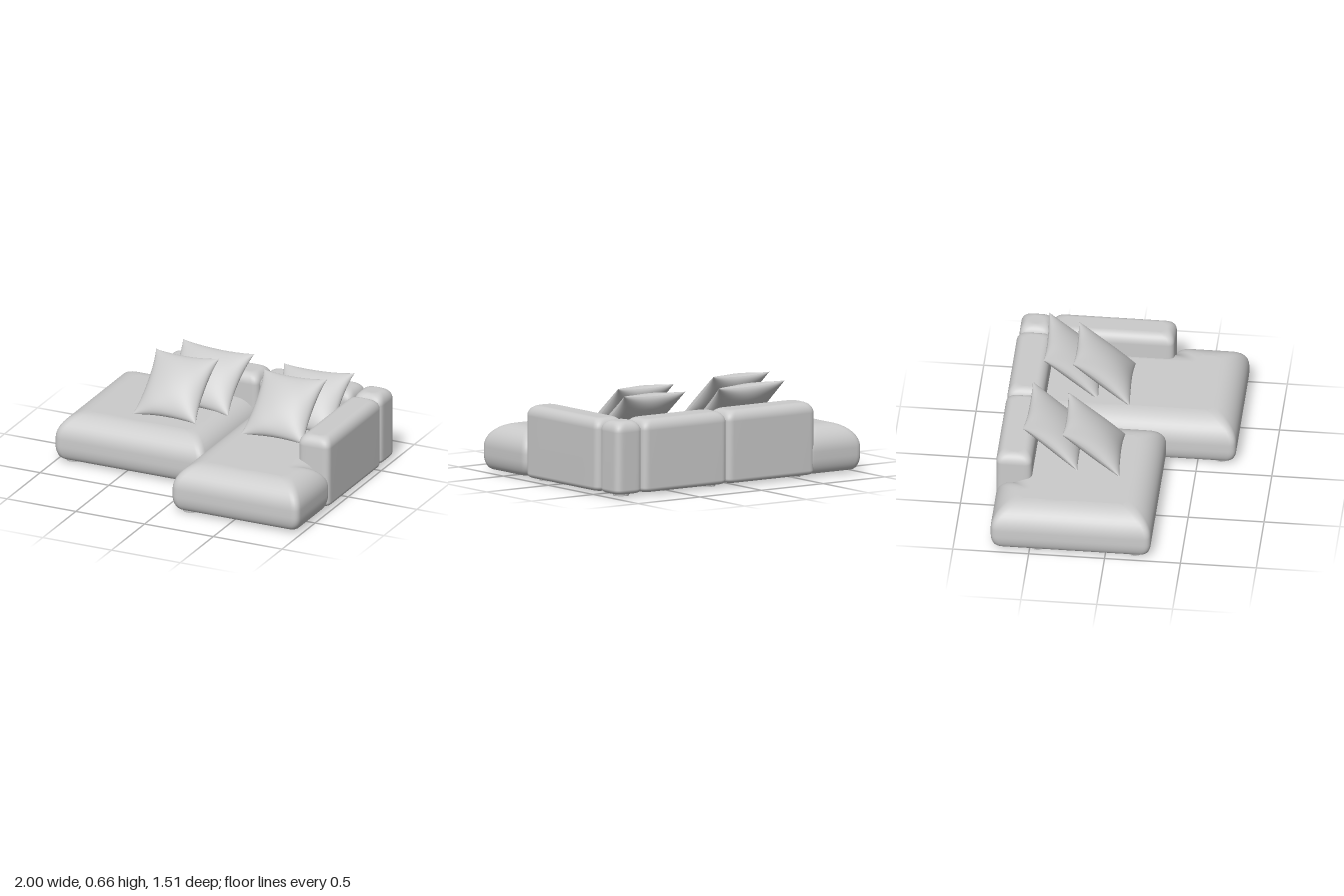
import * as THREE from 'three';
import { mergeGeometries } from 'three/addons/utils/BufferGeometryUtils.js';

const material = new THREE.MeshStandardMaterial({ color: 0xcccccc });

// Plan outline [x, z] moved inwards by `inset`, with its corners rounded.
function outline(corners, inset, radius) {
  const n = corners.length;
  const edge = (a, b) => {
    const d = new THREE.Vector2(b[0] - a[0], b[1] - a[1]).normalize();
    return new THREE.Vector2(d.y, -d.x).multiplyScalar(inset);
  };
  const pts = corners.map((p, i) => new THREE.Vector2(...p)
    .add(edge(corners[(i + n - 1) % n], p))
    .add(edge(p, corners[(i + 1) % n])));
  const ring = [];
  pts.forEach((p, i) => {
    const prev = pts[(i + n - 1) % n], next = pts[(i + 1) % n];
    const toward = (q) => p.clone().lerp(q, Math.min(0.48, radius / p.distanceTo(q)));
    const bend = new THREE.QuadraticBezierCurve(toward(prev), p, toward(next));
    ring.push(...bend.getPoints(6));
    // extra points along the straight run
    const a = ring[ring.length - 1];
    const b = next.clone().lerp(p, Math.min(0.48, radius / p.distanceTo(next)));
    for (let k = 1; k < 6; k++) ring.push(a.clone().lerp(b, k / 6));
  });
  return ring;
}

// Upholstered block: the plan outline is stacked along a rounded side profile.
function block(name, corners, y0, y1, { topIn, drop, botIn, rise, radius }) {
  const profile = [], steps = 10;
  for (let i = 0; i <= steps; i++) {
    const a = (1 - i / steps) * Math.PI / 2;
    profile.push([botIn * (1 - Math.cos(a)), y0 + rise * (1 - Math.sin(a))]);
  }
  for (let i = 0; i <= steps; i++) {
    const a = (i / steps) * Math.PI / 2;
    profile.push([topIn * (1 - Math.cos(a)), y1 - drop * (1 - Math.sin(a))]);
  }
  const rings = profile.map(([inset]) => outline(corners, inset, radius));
  const n = rings[0].length, last = (rings.length - 1) * n;
  const pos = [], index = [];
  rings.forEach((ring, j) => ring.forEach((p) => pos.push(p.x, profile[j][1], p.y)));
  for (let j = 0; j < rings.length - 1; j++) {
    for (let i = 0; i < n; i++) {
      const a = j * n + i, b = j * n + (i + 1) % n;
      index.push(a, b, b + n, a, b + n, a + n);
    }
  }
  const cap = (ring) => THREE.ShapeUtils.triangulateShape(ring.map((p) => new THREE.Vector2(p.x, -p.y)), []);
  cap(rings[0]).forEach(([a, b, c]) => index.push(a, c, b));
  cap(rings[rings.length - 1]).forEach(([a, b, c]) => index.push(a + last, b + last, c + last));
  const geo = new THREE.BufferGeometry();
  geo.setAttribute('position', new THREE.Float32BufferAttribute(pos, 3));
  geo.setIndex(index);
  geo.computeVertexNormals();
  const mesh = new THREE.Mesh(geo, material);
  mesh.name = name;
  return mesh;
}

const rect = (x0, x1, z0, z1) => [[x0, z1], [x1, z1], [x1, z0], [x0, z0]];

// Stuffed pillow: two puffed sheets meeting at a seam, with pulled-out corners.
function pillowGeometry(w, h, thick) {
  const sides = [1, -1].map((side) => {
    const geo = new THREE.PlaneGeometry(2, 2, 28, 28);
    const p = geo.attributes.position;
    for (let i = 0; i < p.count; i++) {
      // finer spacing towards the seam
      const u = Math.sin(p.getX(i) * Math.PI / 2), v = Math.sin(p.getY(i) * Math.PI / 2);
      const eu = Math.max(0, 1 - u * u), ev = Math.max(0, 1 - v * v);
      const crease = 1 + 0.05 * Math.sin(5 * u + 3 * v) * (u * u + v * v);
      p.setXYZ(i,
        w / 2 * u * (1 - 0.13 * Math.pow(ev, 0.8)),
        h / 2 * v * (1 - 0.1 * Math.pow(eu, 0.8)),
        thick / 2 * Math.pow(eu * ev, 0.5) * crease);
    }
    if (side < 0) geo.rotateY(Math.PI);
    geo.computeVertexNormals();
    return geo;
  });
  return mergeGeometries(sides);
}

export function createModel() {
  const model = new THREE.Group();
  model.name = 'cornerSofa';

  // Seats, notched where the backs and the arm stand
  const soft = { topIn: 0.17, drop: 0.16, botIn: 0.045, rise: 0.1, radius: 0.05 };
  model.add(block('wideSeat',
    [[-1, 0.3], [0.09, 0.3], [0.09, -0.68], [-0.56, -0.68], [-0.56, -0.755], [-1, -0.755]],
    0.02, 0.328, soft));
  model.add(block('chaiseSeat',
    [[0.07, 0.755], [0.995, 0.755], [0.995, 0.262], [0.92, 0.262], [0.92, -0.68], [0.07, -0.68]],
    0.02, 0.328, soft));

  // Backrests, corner block and arm
  const firm = { topIn: 0.06, drop: 0.07, botIn: 0.025, rise: 0.03, radius: 0.05 };
  model.add(block('rightBackrest', rect(-0.62, 0.092, -0.757, -0.52), 0.02, 0.5, firm));
  model.add(block('leftBackrest', rect(0.092, 0.772, -0.755, -0.515), 0.02, 0.5, firm));
  model.add(block('cornerBlock', rect(0.772, 0.98, -0.745, -0.532), 0.02, 0.5, firm));
  model.add(block('arm', rect(0.762, 0.99, -0.532, 0.278), 0.02, 0.5, firm));

  // Pillows leaning back: [name, width, height, x, y, z, roll]
  const pillows = [
    ['rightFrontPillow', 0.46, 0.5, -0.32, 0.495, -0.14, 0.02],
    ['rightRearPillow', 0.53, 0.48, -0.23, 0.475, -0.405, -0.03],
    ['leftFrontPillow', 0.46, 0.5, 0.46, 0.485, -0.15, 0.02],
    ['leftRearPillow', 0.51, 0.48, 0.54, 0.472, -0.36, 0.04],
  ];
  for (const [name, w, h, x, y, z, roll] of pillows) {
    const pillow = new THREE.Mesh(pillowGeometry(w, h, 0.17), material);
    pillow.name = name;
    pillow.position.set(x, y, z);
    pillow.rotation.set(-0.86, 0, roll);
    model.add(pillow);
  }

  // Low round feet
  const footGeo = new THREE.CylinderGeometry(0.055, 0.052, 0.03, 32);
  const feet = [[0.87, 0.19], [0.87, -0.63], [0.17, 0.65], [0.17, -0.45],
    [0.17, -0.63], [-0.53, -0.62], [-0.9, -0.45], [-0.9, 0.19]];
  for (const [x, z] of feet) {
    const foot = new THREE.Mesh(footGeo, material);
    foot.name = 'foot';
    foot.position.set(x, 0.015, z);
    model.add(foot);
  }
  return model;
}
